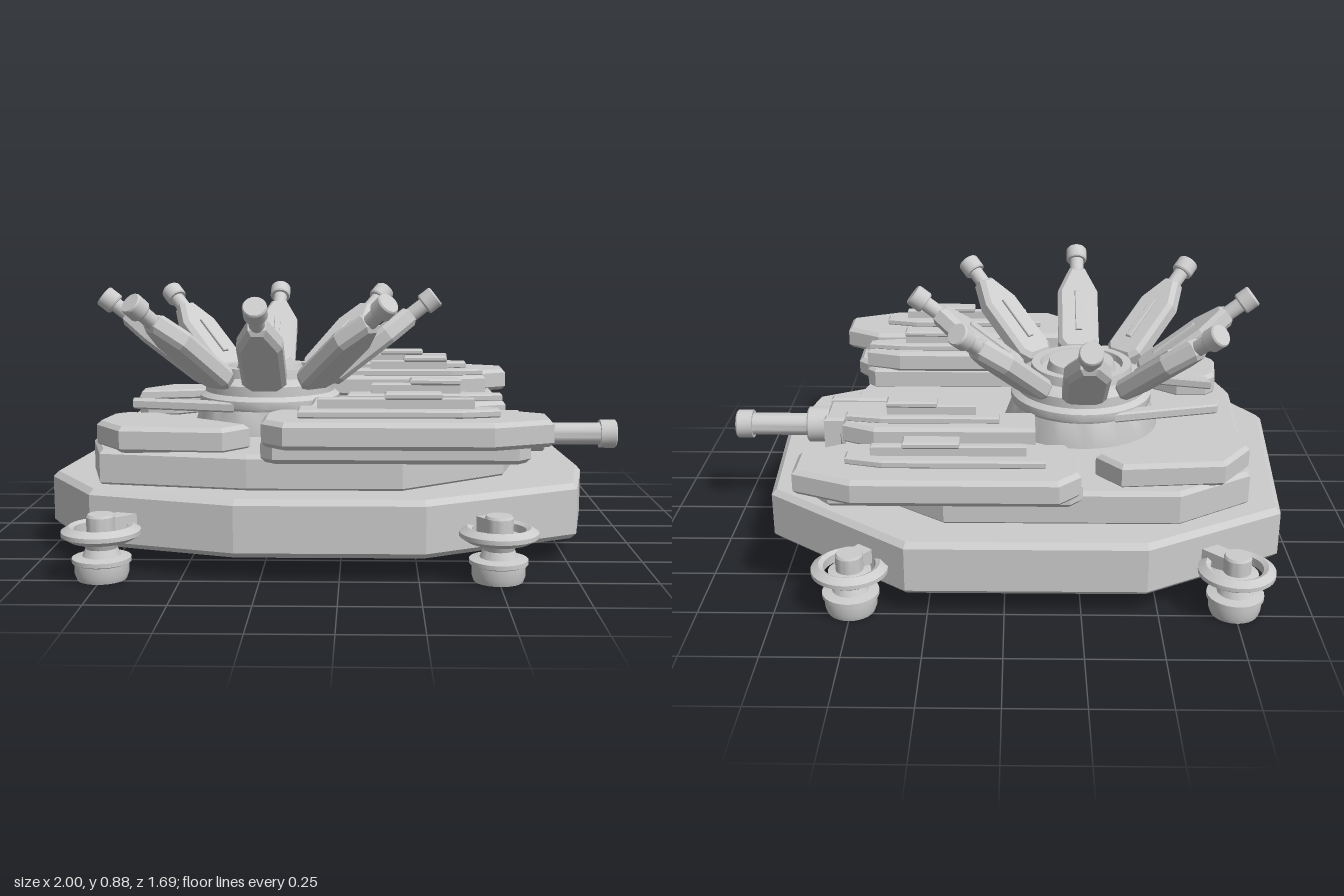
import * as THREE from 'three';
import { toCreasedNormals } from 'three/addons/utils/BufferGeometryUtils.js';

const grey = new THREE.MeshStandardMaterial({ color: 0xcccccc });

function add(parent, name, geometry, x = 0, y = 0, z = 0) {
  const mesh = new THREE.Mesh(geometry, grey);
  mesh.name = name;
  mesh.position.set(x, y, z);
  parent.add(mesh);
  return mesh;
}

function addGroup(parent, name, x = 0, y = 0, z = 0) {
  const group = new THREE.Group();
  group.name = name;
  group.position.set(x, y, z);
  parent.add(group);
  return group;
}

// Horizontal plate with chamfered rims; outline is [x, z] pairs, side mirrors it in z
function slab(outline, y0, y1, bevel = 0.012, side = 1) {
  const shape = new THREE.Shape(outline.map(([x, z]) => new THREE.Vector2(x, -z * side)));
  const geometry = new THREE.ExtrudeGeometry(shape, {
    depth: y1 - y0 - 2 * bevel, bevelEnabled: true, bevelSegments: 1,
    bevelSize: bevel, bevelThickness: bevel, bevelOffset: -bevel,
  });
  return geometry.rotateX(-Math.PI / 2).translate(0, y0 + bevel, 0);
}

// Turned part with crisp rims; profile is [radius, y] pairs from bottom to top
function turned(profile, segments = 32) {
  const points = profile.map(([r, y]) => new THREE.Vector2(r, y));
  return toCreasedNormals(new THREE.LatheGeometry(points, segments), 0.5);
}

const rect = (x0, x1, z0, z1) => [[x0, z0], [x1, z0], [x1, z1], [x0, z1]];

// Rectangle with cut corners
const cutRect = (x0, x1, z0, z1, c) => [
  [x0, z0 + c], [x0 + c, z0], [x1 - c, z0], [x1, z0 + c],
  [x1, z1 - c], [x1 - c, z1], [x0 + c, z1], [x0, z1 - c],
];

// Tapered spine, raised fin and cap on top of a pod
function addPodTop(pod, s, x0, x1, zc, w, y, fin, cap) {
  const h = w / 2;
  add(pod, 'podSpine', slab([
    [x0, zc - h], [x1 - 0.12, zc - h], [x1, zc - h * 0.45], [x1, zc + h * 0.45],
    [x1 - 0.12, zc + h], [x0, zc + h],
  ], y, y + 0.027, 0.006, s));
  add(pod, 'podFin', slab(rect(fin[0], fin[1], zc - 0.014, zc + 0.014), y + 0.02, y + 0.06, 0.004, s));
  add(pod, 'podCap', slab(rect(cap[0], cap[1], zc - cap[2], zc + cap[2]), y + 0.056, y + 0.078, 0.006, s));
}

function addSide(model, s) {
  const side = addGroup(model, s > 0 ? 'frontSide' : 'backSide');

  // Outer pod on its lower plate
  add(side, 'lowerPlate', slab(cutRect(-0.25, 0.6, 0.42, 0.71, 0.04), 0.365, 0.44, 0.015, s));
  add(side, 'outerPod', slab([
    [-0.24, 0.61], [-0.2, 0.535], [0.53, 0.535], [0.66, 0.61],
    [0.66, 0.75], [0.47, 0.83], [-0.17, 0.83], [-0.24, 0.76],
  ], 0.43, 0.515, 0.014, s));
  addPodTop(side, s, -0.13, 0.5, 0.68, 0.11, 0.513, [-0.07, 0.42], [0.14, 0.32, 0.03]);

  // Inner pod
  add(side, 'innerPodBase', slab(cutRect(-0.1, 0.55, 0.3, 0.44, 0.03), 0.37, 0.45, 0.01, s));
  add(side, 'innerPod', slab([
    [-0.1, 0.29], [0.42, 0.29], [0.55, 0.33], [0.55, 0.39], [0.44, 0.44], [-0.1, 0.44],
  ], 0.445, 0.522, 0.012, s));
  addPodTop(side, s, 0.02, 0.54, 0.36, 0.075, 0.518, [0.1, 0.4], [0.23, 0.4, 0.03]);

  // Rear corner plate
  add(side, 'cornerPlate', slab([
    [-0.8, 0.26], [-0.76, 0.22], [-0.65, 0.22], [-0.3, 0.49],
    [-0.38, 0.585], [-0.72, 0.555], [-0.82, 0.42],
  ], 0.37, 0.457, 0.014, s));

  // Slim strip running out from under the turret
  add(side, 'deckStrip', slab([
    [-0.76, 0.09], [-0.75, 0.14], [-0.38, 0.23], [-0.38, 0.18],
  ], 0.455, 0.49, 0.006, s));
}

// Flared arm on the turret, built along its own +x axis
function addArm(turret, angle) {
  const pivot = addGroup(turret, 'turretArm');
  pivot.rotation.y = angle;
  const arm = addGroup(pivot, 'armTilt', 0.235, 0.565, 0);
  arm.rotation.z = 0.66;
  add(arm, 'armBlade', slab([
    [-0.02, -0.05], [0.015, -0.077], [0.25, -0.077], [0.36, -0.03],
    [0.36, 0.03], [0.25, 0.077], [0.015, 0.077], [-0.02, 0.05],
  ], -0.036, 0.036, 0.016));
  add(arm, 'armRidge', slab(rect(0.06, 0.24, -0.012, 0.012), 0.03, 0.046, 0.003));
  add(arm, 'armNeck', new THREE.CylinderGeometry(0.027, 0.027, 0.08, 16), 0.385).rotation.z = -Math.PI / 2;
  add(arm, 'armTip', turned([[0, 0], [0.036, 0], [0.04, 0.006], [0.04, 0.05], [0.036, 0.056], [0, 0.056]], 20),
    0.412).rotation.z = -Math.PI / 2;
}

// Foot with a hoop around its post and a bracket to the hull
function addFoot(model, x, z) {
  const foot = addGroup(model, 'foot', x, 0, z);
  add(foot, 'footPad', turned([
    [0, 0], [0.078, 0], [0.085, 0.02], [0.085, 0.052], [0.093, 0.056], [0.093, 0.07],
    [0.06, 0.076], [0.05, 0.1], [0.06, 0.125], [0.07, 0.13], [0.07, 0.145], [0.045, 0.15],
    [0.045, 0.2], [0.04, 0.208], [0, 0.208],
  ], 28));
  add(foot, 'footHoop', turned([
    [0.085, 0.135], [0.1, 0.127], [0.125, 0.143], [0.125, 0.157],
    [0.1, 0.173], [0.085, 0.165], [0.085, 0.135],
  ], 32));
  const bracket = addGroup(foot, 'footBracket');
  bracket.rotation.y = Math.atan2(z, -x);
  add(bracket, 'bracketBar', new THREE.BoxGeometry(0.22, 0.05, 0.06), 0.1, 0.17, 0);
}

export function createModel() {
  const model = new THREE.Group();
  model.name = 'turretPlatform';

  // Hull and stepped deck
  add(model, 'hull', slab([
    [-0.46, -0.76], [0.32, -0.76], [0.81, -0.38], [0.845, 0.16], [0.78, 0.49], [0.27, 0.76],
    [-0.33, 0.76], [-0.81, 0.61], [-1, 0.31], [-0.925, -0.5],
  ], 0.075, 0.262, 0.018));
  add(model, 'deck', slab([
    [-0.82, -0.46], [-0.57, -0.62], [0.2, -0.62], [0.55, -0.36], [0.635, 0.04], [0.55, 0.36],
    [0.2, 0.62], [-0.3, 0.62], [-0.79, 0.53], [-0.86, 0.28],
  ], 0.255, 0.378, 0.014));

  addSide(model, 1);
  addSide(model, -1);

  // Turret with eight arms
  const turret = addGroup(model, 'turret', -0.27, 0, 0);
  add(turret, 'turretBody', turned([
    [0.28, 0.37], [0.28, 0.38], [0.25, 0.46], [0.255, 0.47], [0.255, 0.495], [0.235, 0.51],
    [0.235, 0.545], [0.21, 0.56], [0.185, 0.565], [0.18, 0.598], [0.15, 0.598],
    [0.145, 0.575], [0.125, 0.575], [0.115, 0.608], [0, 0.61],
  ], 40));
  for (let i = 0; i < 8; i++) addArm(turret, i * Math.PI / 4);

  // Gun at the +x end
  const gun = addGroup(model, 'gun');
  add(gun, 'gunMount', slab(rect(0.38, 0.66, -0.085, 0.085), 0.27, 0.405, 0.008));
  for (const s of [1, -1]) {
    add(gun, 'mountCheek', slab(rect(0.38, 0.66, 0.075, 0.118), 0.27, 0.418, 0.008, s));
  }
  add(gun, 'gunBarrel', turned([
    [0, 0], [0.065, 0], [0.065, 0.075], [0.06, 0.08], [0.041, 0.08], [0.041, 0.285],
    [0.052, 0.285], [0.052, 0.34], [0.047, 0.345], [0, 0.345],
  ], 28), 0.655, 0.347, 0).rotation.z = -Math.PI / 2;

  for (const x of [-0.75, 0.5]) {
    for (const z of [-0.718, 0.718]) addFoot(model, x, z);
  }
  return model;
}
